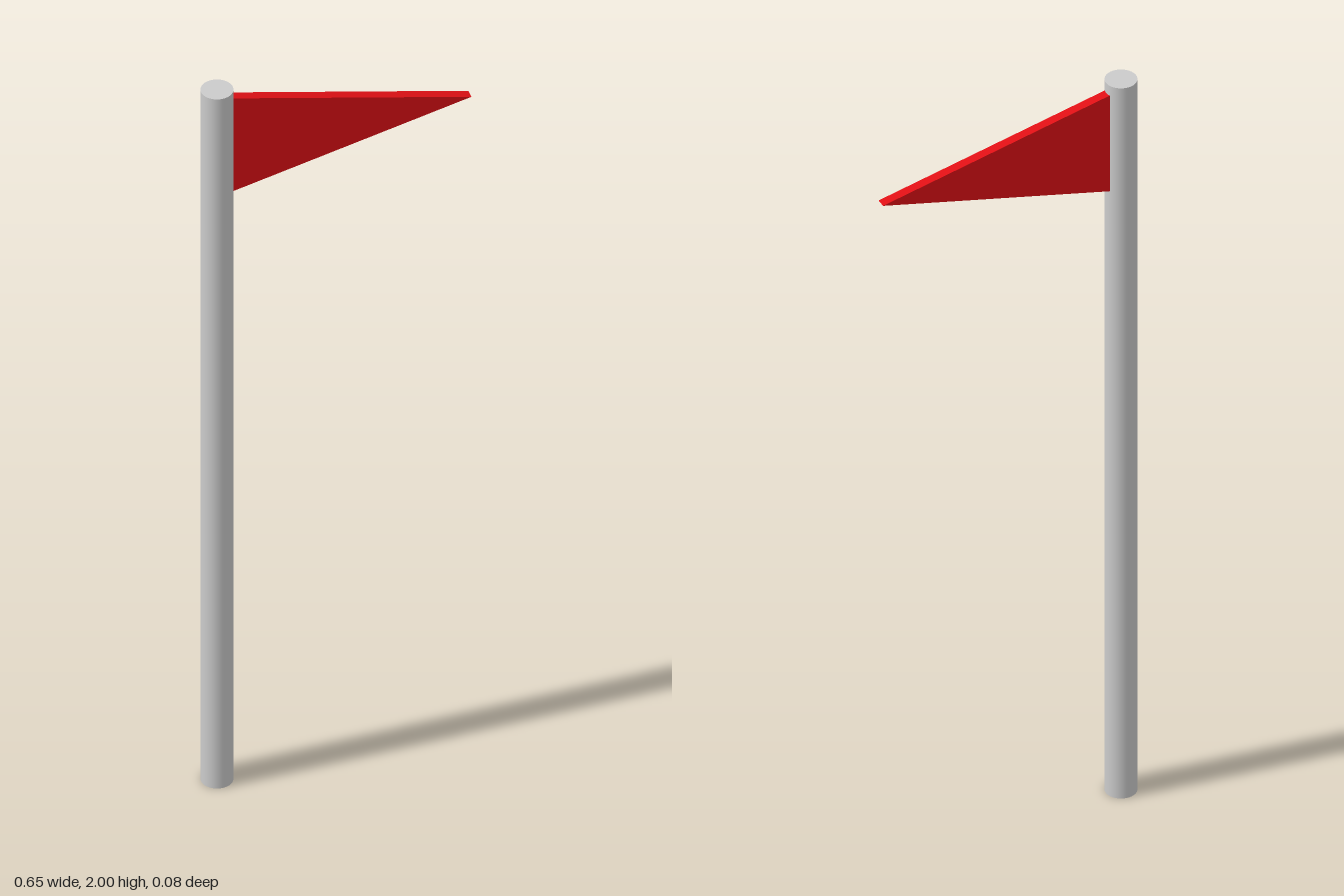
import * as THREE from 'three';

export function createModel() {
  const group = new THREE.Group();
  const poleX = -0.288, poleRadius = 0.038, height = 2;

  // Round pole standing on the ground
  const pole = new THREE.Mesh(
    new THREE.CylinderGeometry(poleRadius, poleRadius, height, 48),
    new THREE.MeshStandardMaterial({ color: 0xcccccc })
  );
  pole.name = 'pole';
  pole.position.set(poleX, height / 2, 0);
  group.add(pole);

  // Triangular pennant, a thin slab attached to the pole's side
  const flagX = poleX + poleRadius - 0.004, thickness = 0.024;
  const outline = new THREE.Shape([
    new THREE.Vector2(flagX, 1.703),
    new THREE.Vector2(0.326, 1.838),
    new THREE.Vector2(flagX, 1.973),
  ]);
  const flag = new THREE.Mesh(
    new THREE.ExtrudeGeometry(outline, { depth: thickness, bevelEnabled: false }),
    new THREE.MeshStandardMaterial({ color: 0xe01015 })
  );
  flag.name = 'pennant';
  flag.position.z = -0.014;
  group.add(flag);

  return group;
}
